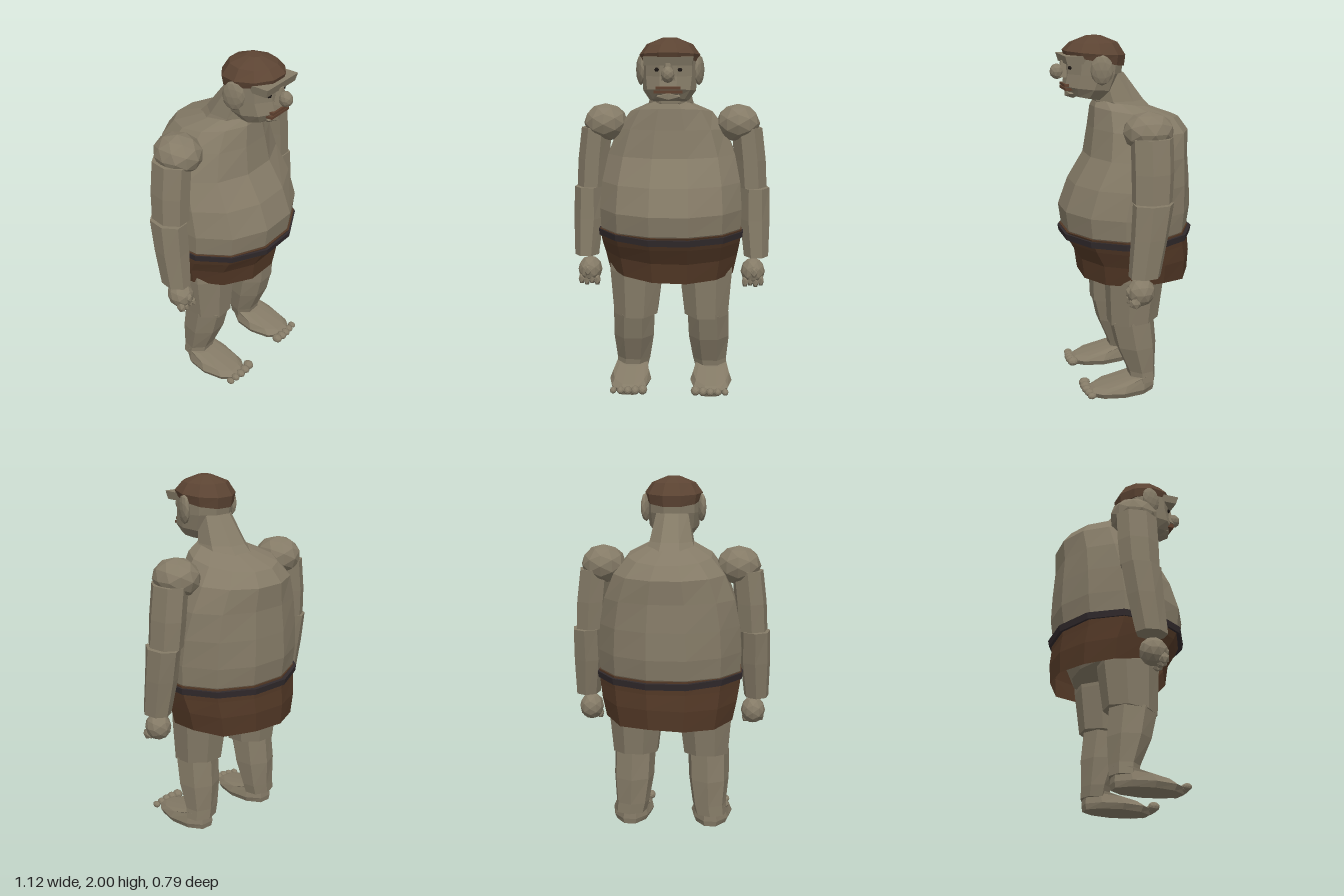
import * as THREE from 'three';

const mat = (name, color, extra = {}) =>
  Object.assign(new THREE.MeshStandardMaterial({ color, ...extra }), { name });

export function createModel() {
  const skin = mat('skin', 0x857b67);
  const hairBrown = mat('hair brown', 0x5c4433);
  const hide = mat('hide brown', 0x523826, { side: THREE.DoubleSide });
  const beltDark = mat('belt dark', 0x312a2c);
  const lipBrown = mat('lip brown', 0x5f412f);
  const eyeDark = mat('eye dark', 0x1b1613);

  const model = new THREE.Group();
  model.name = 'giant';

  // faceted mesh: unshared corners give flat normals
  function add(name, geo, material, parent = model) {
    const g = geo.index ? geo.toNonIndexed() : geo;
    g.computeVertexNormals();
    const m = new THREE.Mesh(g, material);
    m.name = name;
    parent.add(m);
    return m;
  }

  // rings from bottom to top: [x, y, z, half width, half depth, rise towards the front]
  function loft(rings, n, { bottom = true, top = true, lift = () => 0 } = {}) {
    const pos = [], idx = [], k = 1 / Math.cos(Math.PI / n);
    rings.forEach(([x, y, z, rx, rz, tilt = 0], r) => {
      for (let i = 0; i < n; i++) {
        const a = ((i + 0.5) / n) * Math.PI * 2;
        const dz = Math.cos(a) * rz * k;
        pos.push(x + Math.sin(a) * rx * k, y + tilt * dz + lift(r, i), z + dz);
      }
    });
    for (let r = 0; r < rings.length - 1; r++)
      for (let i = 0; i < n; i++) {
        const j = (i + 1) % n, a = r * n + i, b = r * n + j;
        idx.push(a, b, b + n, a, b + n, a + n);
      }
    const last = (rings.length - 1) * n;
    for (let i = 1; i < n - 1; i++) {
      if (bottom) idx.push(0, i + 1, i);
      if (top) idx.push(last, last + i, last + i + 1);
    }
    const g = new THREE.BufferGeometry();
    g.setAttribute('position', new THREE.Float32BufferAttribute(pos, 3));
    g.setIndex(idx);
    return g;
  }

  const blob = (x, y, z, rx, ry, rz, detail = 1) =>
    new THREE.IcosahedronGeometry(1, detail).scale(rx, ry, rz).translate(x, y, z);

  // torso with a round belly and a hunched back
  add('torso', loft([
    [0, 0.70, -0.06, 0.28, 0.19],
    [0, 0.90, -0.02, 0.37, 0.32],
    [0, 0.94, -0.015, 0.395, 0.345],
    [0, 1.05, -0.015, 0.40, 0.36],
    [0, 1.20, -0.04, 0.39, 0.33],
    [0, 1.35, -0.08, 0.36, 0.28],
    [0, 1.49, -0.095, 0.305, 0.272, 0.05],
    [0, 1.585, -0.075, 0.23, 0.24, 0.14],
    [0, 1.635, 0, 0.13, 0.15, 0.15],
  ], 12), skin);

  // hide skirt with an uneven hem, and belt
  const hem = [0, 0.005, 0.01, 0.02, 0, 0.01, 0, -0.005, 0.01, 0.035, 0.02, 0.005];
  add('skirt', loft([
    [0, 0.655, -0.065, 0.355, 0.305],
    [0, 0.77, -0.06, 0.378, 0.315],
    [0, 0.86, -0.03, 0.392, 0.335],
    [0, 0.935, -0.012, 0.402, 0.352],
  ], 12, { bottom: false, lift: (r, i) => (r === 0 ? hem[i] : r === 1 ? hem[i] * 0.6 : 0) }), hide);
  add('belt', loft([
    [0, 0.89, -0.018, 0.405, 0.362],
    [0, 0.925, -0.018, 0.409, 0.368],
  ], 12, { lift: (r, i) => (i > 6 && i < 11 ? 0.008 : 0) }), beltDark);

  // neck leaning forward to the head
  add('neck', loft([
    [0, 1.54, -0.06, 0.16, 0.16],
    [0, 1.65, 0.02, 0.12, 0.135],
    [0, 1.80, 0.08, 0.09, 0.085],
  ], 8), skin);

  // head
  const head = new THREE.Group();
  head.name = 'head';
  model.add(head);
  add('face', loft([
    [0, 1.67, 0.205, 0.10, 0.09, 0.18],
    [0, 1.72, 0.185, 0.135, 0.14, 0.1],
    [0, 1.80, 0.16, 0.143, 0.15],
    [0, 1.905, 0.155, 0.143, 0.155],
  ], 10), skin, head);
  add('hair', loft([
    [0, 1.868, 0.155, 0.146, 0.158, 0.2],
    [0, 1.91, 0.155, 0.156, 0.166, 0.08],
    [0, 1.965, 0.155, 0.118, 0.125],
    [0, 2.0, 0.155, 0.035, 0.04],
  ], 10), hairBrown, head);
  add('brow', loft([
    [0, 1.857, 0.255, 0.125, 0.072],
    [0, 1.902, 0.26, 0.132, 0.08],
  ], 4), skin, head);
  add('noseBridge', loft([
    [0, 1.78, 0.325, 0.032, 0.03],
    [0, 1.87, 0.32, 0.016, 0.018],
  ], 5), skin, head);
  add('noseTip', blob(0, 1.812, 0.36, 0.035, 0.043, 0.04), skin, head);
  add('upperLip', new THREE.BoxGeometry(0.13, 0.014, 0.05).translate(0, 1.741, 0.308), lipBrown, head);
  add('lowerLip', new THREE.BoxGeometry(0.15, 0.014, 0.05).translate(0, 1.721, 0.305), lipBrown, head);
  add('chin', blob(0, 1.695, 0.28, 0.075, 0.03, 0.045, 0), skin, head);

  for (const s of [1, -1]) {
    const side = s > 0 ? 'left' : 'right';
    const group = (name) => {
      const g = new THREE.Group();
      g.name = side + name;
      model.add(g);
      return g;
    };
    // mirrored loft: ring centres move to the other side
    const limb = (name, parent, n, rings) =>
      add(name, loft(rings.map(([x, ...rest]) => [x * s, ...rest]), n), skin, parent);

    // eye and ear
    add(side + 'Eye', blob(s * 0.06, 1.835, 0.301, 0.016, 0.012, 0.012, 0), eyeDark, head);
    const ear = add(side + 'Ear', blob(0, 0, 0, 0.024, 0.082, 0.062), skin, head);
    ear.position.set(s * 0.157, 1.828, 0.148);
    ear.rotation.y = s * -0.3;

    // arm
    const arm = group('Arm');
    add('shoulder', blob(s * 0.375, 1.525, -0.045, 0.125, 0.108, 0.138), skin, arm);
    limb('upperArm', arm, 7, [
      [0.455, 1.165, -0.045, 0.08, 0.1],
      [0.445, 1.32, -0.05, 0.082, 0.105],
      [0.425, 1.5, -0.05, 0.08, 0.105],
    ]);
    limb('forearm', arm, 7, [
      [0.487, 0.77, 0.005, 0.064, 0.08],
      [0.477, 0.98, -0.025, 0.078, 0.092],
      [0.475, 1.16, -0.045, 0.076, 0.102],
    ]);
    add('fist', blob(s * 0.47, 0.68, 0.02, 0.07, 0.078, 0.078), skin, arm);
    for (let i = 0; i < 4; i++)
      add('finger', blob(s * (0.425 + i * 0.03), 0.625 + (i % 2) * 0.008, 0.06, 0.02, 0.034, 0.032, 0), skin, arm);
    add('thumb', blob(s * 0.475, 0.685, 0.085, 0.022, 0.034, 0.022, 0), skin, arm);

    // leg
    const leg = group('Leg');
    limb('thigh', leg, 8, [
      [0.205, 0.43, -0.01, 0.125, 0.135, -0.1],
      [0.2, 0.68, -0.02, 0.15, 0.155],
      [0.2, 0.78, -0.03, 0.15, 0.15],
    ]);
    limb('calf', leg, 7, [
      [0.235, 0.07, -0.06, 0.085, 0.07],
      [0.225, 0.13, -0.055, 0.09, 0.075],
      [0.22, 0.28, -0.025, 0.108, 0.108],
      [0.215, 0.44, 0, 0.11, 0.118, -0.08],
    ]);

    // foot with five toes
    limb('foot', leg, 10, [
      [0.235, 0.004, 0.07, 0.1, 0.185],
      [0.235, 0.035, 0.075, 0.115, 0.195],
      [0.235, 0.075, 0.055, 0.1, 0.17, -0.12],
      [0.235, 0.105, -0.045, 0.085, 0.08, -0.1],
    ]);
    for (let i = 0; i < 5; i++) {
      const r = 0.027 - i * 0.002;
      add('toe', blob(s * (0.15 + i * 0.042), r + 0.012, 0.268 - Math.abs(i - 1.5) * 0.005, r, r, r + 0.006), skin, leg);
    }
  }
  return model;
}
